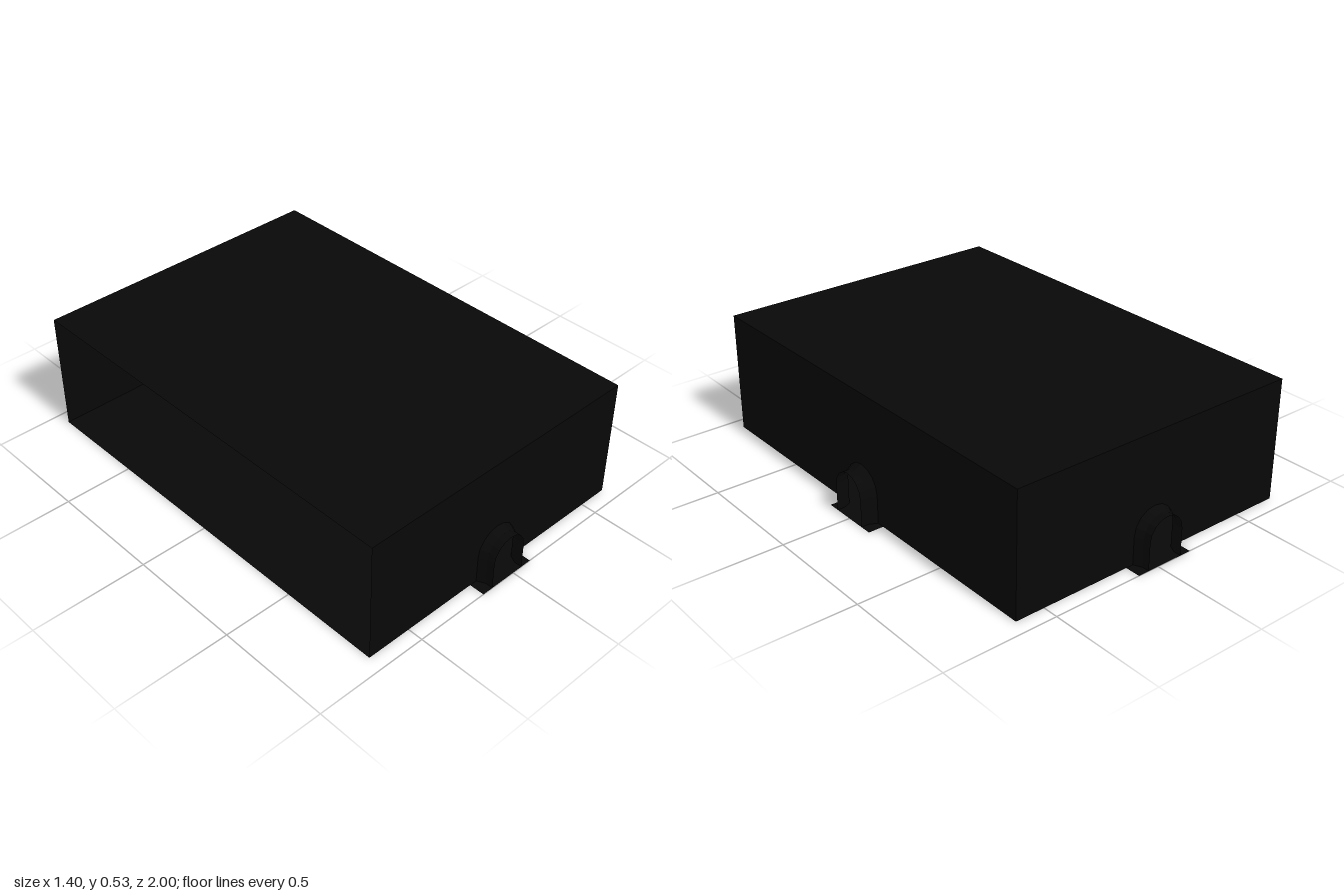
import * as THREE from 'three';

const X0 = -0.7, X1 = 0.63, Z = 0.933, H = 0.533;
const CX = (X0 + X1) / 2, W = X1 - X0;
const SPRING = 0.12, DEPTH = 0.067, SEGMENTS = 8;

// Arch outline from the left foot over the top to the right foot
function arch(r) {
  const pts = [[-r, 0]];
  for (let i = 0; i <= SEGMENTS; i++) {
    const a = Math.PI * (1 - i / SEGMENTS);
    pts.push([r * Math.cos(a), SPRING + r * Math.sin(a)]);
  }
  pts.push([r, 0]);
  return pts;
}

// Flat wall facing +z with an arched doorway cut from its lower edge
function wallGeometry(width) {
  const outline = [[-width / 2, 0], ...arch(0.1), [width / 2, 0], [width / 2, H], [-width / 2, H]];
  return new THREE.ShapeGeometry(new THREE.Shape(outline.map(([x, y]) => new THREE.Vector2(x, y))));
}

// Short tunnel that narrows away from the wall, then runs straight
function tunnelGeometry() {
  const sections = [[0.1, 0], [0.083, DEPTH / 2], [0.083, DEPTH]];
  const pos = [], index = [], n = SEGMENTS + 3;
  for (const [r, z] of sections) for (const [x, y] of arch(r)) pos.push(x, y, z);
  for (let s = 0; s < sections.length - 1; s++) {
    for (let i = 0; i < n - 1; i++) {
      const a = s * n + i, b = a + n;
      index.push(a, b, a + 1, b, b + 1, a + 1);
    }
  }
  const geo = new THREE.BufferGeometry();
  geo.setAttribute('position', new THREE.Float32BufferAttribute(pos, 3));
  geo.setIndex(index);
  geo.computeVertexNormals();
  return geo;
}

export function createModel() {
  const model = new THREE.Group();
  const black = new THREE.MeshStandardMaterial({ color: 0x080808, side: THREE.DoubleSide, flatShading: true });
  black.name = 'black';

  const add = (parent, name, geo, x = 0, y = 0, z = 0) => {
    const mesh = new THREE.Mesh(geo, black);
    mesh.name = name;
    mesh.position.set(x, y, z);
    parent.add(mesh);
    return mesh;
  };

  // Roof and floor; the -x side stays open
  for (const [name, y, tilt] of [['roof', H, -1], ['floor', 0, 1]]) {
    add(model, name, new THREE.PlaneGeometry(W, 2 * Z).rotateX(tilt * Math.PI / 2), CX, y, 0);
  }

  // Three walls, each with a doorway, tunnel and sill
  const sides = [
    ['front', W, CX, Z, 0],
    ['back', W, CX, -Z, Math.PI],
    ['left', 2 * Z, X1, 0, Math.PI / 2],
  ];
  for (const [name, width, x, z, turn] of sides) {
    const side = new THREE.Group();
    side.name = name + 'Side';
    side.position.set(x, 0, z);
    side.rotation.y = turn;
    add(side, name + 'Wall', wallGeometry(width));
    add(side, name + 'Tunnel', tunnelGeometry());
    add(side, name + 'Sill', new THREE.PlaneGeometry(0.266, DEPTH).rotateX(-Math.PI / 2), 0, 0, DEPTH / 2);
    model.add(side);
  }
  return model;
}
